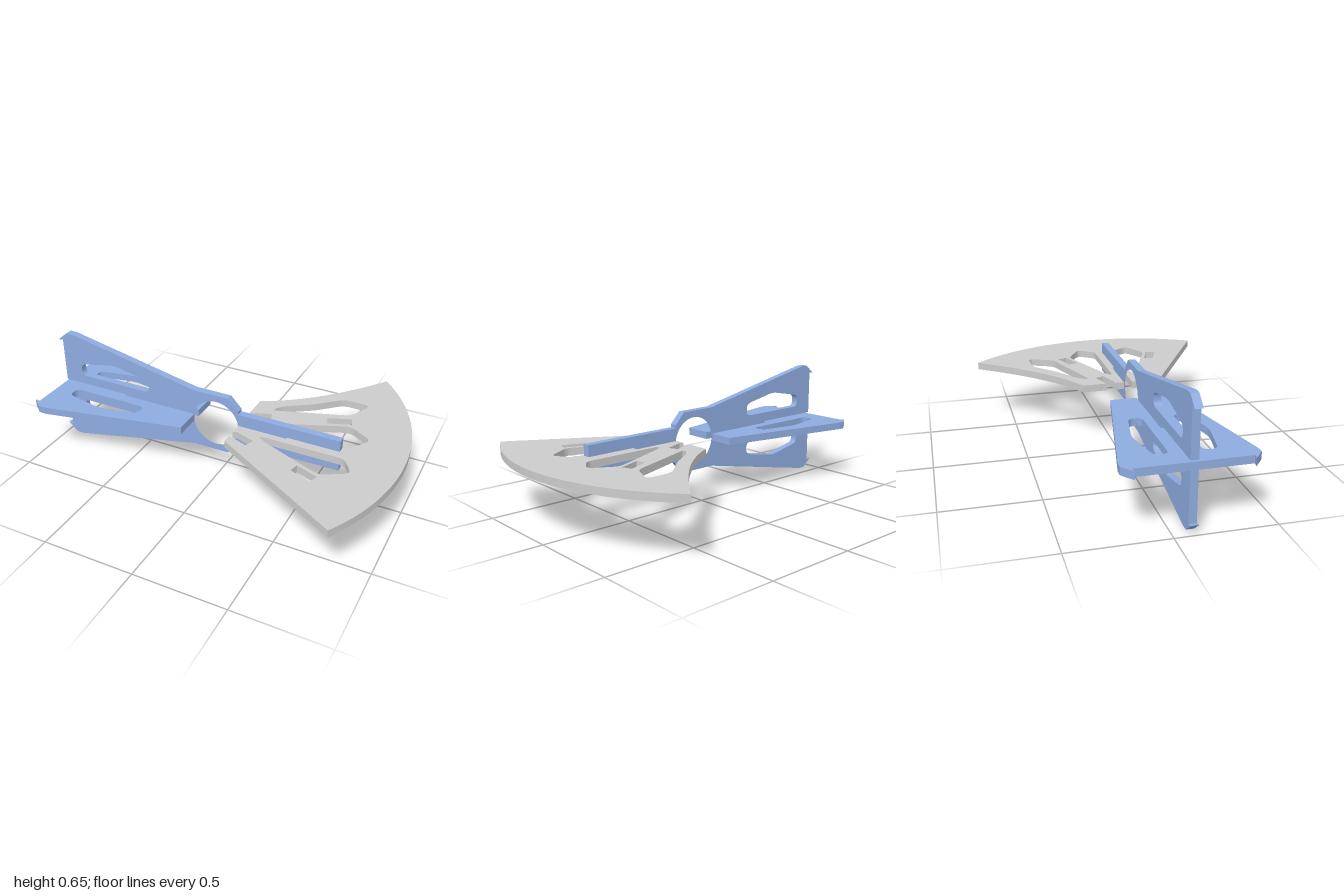
import * as THREE from 'three';

const T = 0.04;        // plate thickness
const AXIS_Y = 0.33;   // shared long axis of the interlocking plates
const AXIS_Z = 0.095;
const blue = new THREE.MeshStandardMaterial({ color: 0x8eabdf });
const grey = new THREE.MeshStandardMaterial({ color: 0xcccccc });

const vec = (pts) => pts.map(([x, y]) => new THREE.Vector2(x, y));
const flip = (pts) => pts.map(([x, y]) => [x, -y]).reverse();

// Closed path with every corner rounded by up to radius r
function rounded(pts, r) {
  const path = new THREE.Path();
  const p = vec(pts), n = p.length;
  p.forEach((c, i) => {
    const a = p[(i + n - 1) % n], b = p[(i + 1) % n];
    const s = c.clone().lerp(a, Math.min(0.45, r / c.distanceTo(a)));
    const e = c.clone().lerp(b, Math.min(0.45, r / c.distanceTo(b)));
    if (i) path.lineTo(s.x, s.y); else path.moveTo(s.x, s.y);
    path.quadraticCurveTo(c.x, c.y, e.x, e.y);
  });
  path.closePath();
  return path;
}

// Plate cut from a sheet; shape coordinates are relative to the long axis
function plate(name, shape, material, flat) {
  const geo = new THREE.ExtrudeGeometry(shape, { depth: T, bevelEnabled: false, curveSegments: 24 });
  geo.translate(0, 0, -T / 2);
  if (flat) geo.rotateX(-Math.PI / 2);
  geo.translate(0, AXIS_Y, AXIS_Z);
  const mesh = new THREE.Mesh(geo, material);
  mesh.name = name;
  return mesh;
}

// Upper edge of a tail fin, from the hooked rear to the middle
const finEdge = [[-0.97, 0.28], [-1, 0.275], [-0.94, 0.325], [-0.9, 0.325], [-0.14, 0.168]];
const finWindow = [[-0.86, 0.08], [-0.42, 0.08], [-0.42, 0.15], [-0.64, 0.193], [-0.86, 0.15]];
const finWindows = () => [rounded(finWindow, 0.035), rounded(flip(finWindow), 0.035)];

export function createModel() {
  const model = new THREE.Group();
  model.name = 'interlockingPlateDart';

  // Upright plate: tail fin, ring and slotted arm
  const ringEdge = [[0.06, 0.168], [0.12, 0.105], [0.12, 0.088], [0.68, 0.088]];
  const upper = [...finEdge, ...ringEdge];
  const upright = new THREE.Shape(vec([
    ...upper,
    [0.68, 0.028], [0.39, 0.028], [0.39, -0.02], [0.68, -0.02],
    ...flip(upper),
    [-0.97, -0.02], [-0.57, -0.02], [-0.57, 0.028], [-0.97, 0.028],
  ]));
  const bore = new THREE.Path();
  bore.absarc(-0.01, 0, 0.131, 0, Math.PI * 2, true);
  upright.holes.push(bore, ...finWindows());
  model.add(plate('uprightPlate', upright, blue, false));

  // Flat tail fin, slotted from its front edge
  const tail = new THREE.Shape(vec([
    ...finEdge,
    [-0.14, 0.028], [-0.57, 0.028], [-0.57, -0.02], [-0.14, -0.02],
    ...flip(finEdge),
  ]));
  tail.holes.push(...finWindows());
  model.add(plate('flatTailFin', tail, blue, true));

  // Fan-shaped head with one concave side and notched inner edge
  const notch = [[0.12, 0.085], [0.14, 0.075], [0.25, 0.115], [0.23, 0.165], [0.12, 0.125]];
  const fan = new THREE.Shape();
  fan.moveTo(0.12, 0.26);
  [
    ...notch.slice().reverse(),
    [0.12, 0.028], [0.39, 0.028], [0.39, -0.02], [0.12, -0.02],
    ...notch.map(([x, y]) => [x, -y]),
    [0.12, -0.178], [0.83, -0.595],
  ].forEach(([x, y]) => fan.lineTo(x, y));
  fan.absarc(-0.125, 0, 1.125, Math.atan2(-0.595, 0.955), Math.atan2(0.785, 0.805), false);
  fan.quadraticCurveTo(0.4, 0.395, 0.12, 0.26);

  // Paired teardrop windows and rectangular slots
  const teardrop = [[0.26, 0.058], [0.72, 0.058], [0.785, 0.155], [0.65, 0.235], [0.29, 0.09]];
  const slot = [[0.515, 0.26], [0.53, 0.21], [0.65, 0.255], [0.63, 0.305]];
  for (const side of [(p) => p, flip]) {
    fan.holes.push(rounded(side(teardrop), 0.035));
    fan.holes.push(new THREE.Path(vec([...side(slot), side(slot)[0]])));
  }
  // Single long window beside the concave edge
  fan.holes.push(rounded(
    [[0.215, 0.2], [0.62, 0.34], [0.68, 0.48], [0.53, 0.48], [0.4, 0.36], [0.25, 0.262]], 0.04));
  model.add(plate('fanHead', fan, grey, true));

  return model;
}
